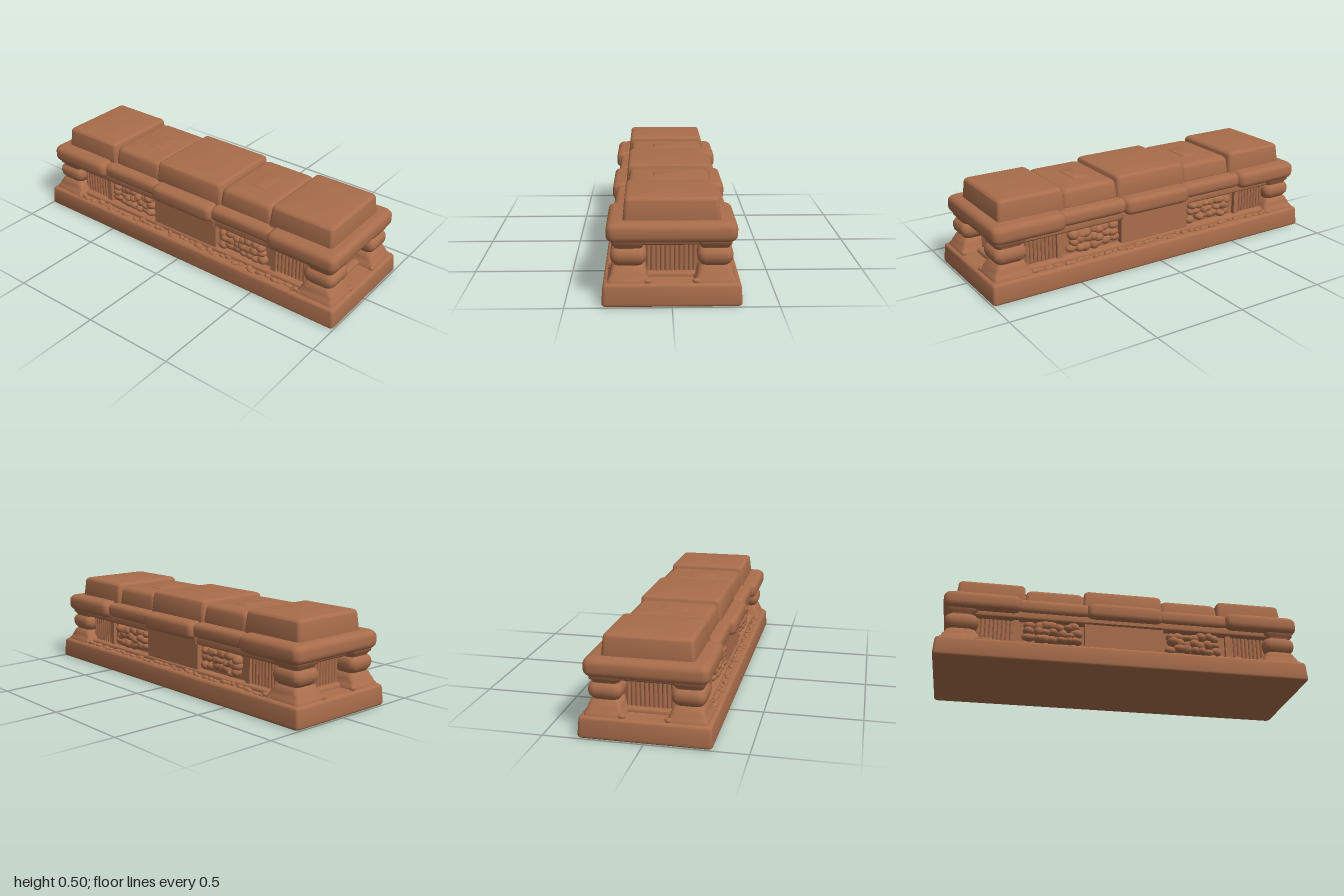
import * as THREE from 'three';
import { toCreasedNormals } from 'three/addons/utils/BufferGeometryUtils.js';

const clay = new THREE.MeshStandardMaterial({ color: 0xa96d4b });
clay.name = 'terracotta';

// Stack of rounded rectangles; each level is [y, halfX, halfZ, cornerRadius]
function loft(levels, crease = 0.6) {
  const pos = [], idx = [], steps = 5, n = 4 * (steps + 1);
  for (const [y, hx, hz, r] of levels) {
    for (let c = 0; c < 4; c++) {
      const sx = c === 0 || c === 3 ? 1 : -1, sz = c < 2 ? 1 : -1;
      for (let s = 0; s <= steps; s++) {
        const a = (c + s / steps) * Math.PI / 2;
        pos.push(sx * (hx - r) + r * Math.cos(a), y, sz * (hz - r) + r * Math.sin(a));
      }
    }
  }
  const last = (levels.length - 1) * n, bottom = levels.length * n;
  pos.push(0, levels[0][0], 0, 0, levels.at(-1)[0], 0);
  for (let i = 0; i < n; i++) {
    const j = (i + 1) % n;
    for (let k = 0; k < last; k += n) {
      idx.push(k + i, k + n + i, k + j, k + j, k + n + i, k + n + j);
    }
    idx.push(bottom, i, j, bottom + 1, last + j, last + i);
  }
  const g = new THREE.BufferGeometry();
  g.setAttribute('position', new THREE.Float32BufferAttribute(pos, 3));
  g.setIndex(idx);
  return toCreasedNormals(g, crease);
}

// Slab with rounded edges and sides that can lean inward
function slab(y0, y1, hx, hz, edge, lean = 0) {
  const levels = [], steps = 4;
  for (let i = 0; i <= 2 * steps + 1; i++) {
    const top = i > steps;
    const a = ((top ? i - 1 : i) / steps - 1) * Math.PI / 2;
    const y = top ? y1 - edge + edge * Math.sin(a) : y0 + edge + edge * Math.sin(a);
    const inset = edge * (1 - Math.cos(a)) + lean * (y - y0) / (y1 - y0);
    levels.push([y, hx - inset, hz - inset, edge * 1.1]);
  }
  return loft(levels);
}

function seeded(seed) {
  return () => (seed = (seed * 16807) % 2147483647) / 2147483647;
}

export function createModel() {
  const model = new THREE.Group();
  model.name = 'tomb';
  const add = (name, geometry, x = 0, y = 0, z = 0, parent = model) => {
    const mesh = new THREE.Mesh(geometry, clay);
    mesh.name = name;
    mesh.position.set(x, y, z);
    parent.add(mesh);
    return mesh;
  };
  const random = seeded(77);

  // Plinth and inner body
  add('plinth', slab(0.004, 0.115, 1, 0.328, 0.016, 0.008));
  add('body', new THREE.BoxGeometry(1.7, 0.24, 0.44), 0, 0.22, 0);
  add('bodyFoot', slab(0.1, 0.135, 0.89, 0.262, 0.012));
  add('underLedge', slab(0.272, 0.32, 0.9, 0.262, 0.012));

  // Projecting ledge in five sections
  add('centreLedge', slab(0.297, 0.39, 0.205, 0.3, 0.028));
  for (const s of [-1, 1]) {
    add('innerLedge', slab(0.308, 0.388, 0.2, 0.278, 0.028), s * 0.385);
    add('endLedge', slab(0.3, 0.396, 0.203, 0.304, 0.032), s * 0.765);
  }

  // Lid: three raised blocks and two lower panels
  add('centreLid', slab(0.37, 0.5, 0.226, 0.228, 0.018, 0.012));
  for (const s of [-1, 1]) {
    add('endLid', slab(0.37, 0.502, 0.191, 0.23, 0.018, 0.013), s * 0.72);
    add('lowLid', slab(0.37, 0.484, 0.17, 0.22, 0.025, 0.014), s * 0.375);
    add('lidInset', slab(0.47, 0.488, 0.045, 0.08, 0.006), s * 0.36);
  }

  // Moulded corner columns
  const columnGeo = loft([
    [0.105, 0.108, 0.1, 0.02], [0.125, 0.106, 0.098, 0.02], [0.133, 0.098, 0.09, 0.02],
    [0.15, 0.093, 0.084, 0.02], [0.16, 0.085, 0.082, 0.025], [0.178, 0.078, 0.076, 0.025],
    [0.188, 0.068, 0.064, 0.03], [0.196, 0.074, 0.07, 0.03], [0.208, 0.084, 0.08, 0.035],
    [0.23, 0.089, 0.084, 0.035], [0.25, 0.087, 0.082, 0.035], [0.264, 0.078, 0.074, 0.03],
    [0.27, 0.069, 0.067, 0.03], [0.282, 0.074, 0.07, 0.025], [0.288, 0.08, 0.076, 0.02],
    [0.31, 0.084, 0.08, 0.02],
  ], 0.9);
  const beadGeo = new THREE.SphereGeometry(1, 12, 8);
  for (const sx of [-1, 1]) for (const sz of [-1, 1]) {
    add('cornerColumn', columnGeo, sx * 0.868, 0, sz * 0.202);
    add('footBead', beadGeo, sx * 0.965, 0.122, sz * 0.113).scale.set(0.015, 0.013, 0.019);
    add('footBead', beadGeo, sx * 0.75, 0.122, sz * 0.285).scale.set(0.02, 0.013, 0.015);
  }

  // Reeded panels on the ends and long sides
  const reedGeo = new THREE.CylinderGeometry(0.01, 0.01, 0.19, 8);
  for (const s of [-1, 1]) {
    for (let z = -0.11; z < 0.115; z += 0.022) {
      add('endReed', reedGeo, s * 0.85, 0.205, z);
    }
    for (const sz of [-1, 1]) for (let x = 0.605; x < 0.785; x += 0.022) {
      add('sideReed', reedGeo, s * x, 0.205, sz * 0.22);
    }
  }

  // Plain centre panels, pilasters and carved foliage on both long sides
  for (const sz of [-1, 1]) {
    add('centrePanel', new THREE.BoxGeometry(0.43, 0.18, 0.05), 0, 0.2, sz * 0.23);
    add('centrePanelCap', new THREE.BoxGeometry(0.43, 0.03, 0.04), 0, 0.292, sz * 0.25);
    for (const sx of [-1, 1]) {
      add('pilaster', new THREE.BoxGeometry(0.03, 0.19, 0.035), sx * 0.582, 0.205, sz * 0.225);
      const carving = new THREE.Group();
      carving.name = 'carvedRelief';
      model.add(carving);
      for (let row = 0; row < 3; row++) for (let i = 0; i < 7; i++) {
        const x = 0.265 + i * 0.04 + (random() - 0.5) * 0.025;
        const y = 0.172 + row * 0.037 + (random() - 0.5) * 0.02;
        add('carvedLump', beadGeo, sx * x, y, sz * 0.233, carving)
          .scale.set(0.026 + random() * 0.012, 0.02 + random() * 0.01, 0.022 + random() * 0.014);
      }
    }
  }

  // Worn crumbs along the joint with the plinth
  for (const sz of [-1, 1]) for (let i = 0; i < 44; i++) {
    const x = -0.9 + i * 0.042 + (random() - 0.5) * 0.03;
    add('crumb', beadGeo, x, 0.117, sz * (0.268 + random() * 0.025))
      .scale.set(0.012 + random() * 0.016, 0.006 + random() * 0.01, 0.01 + random() * 0.008);
  }
  return model;
}
